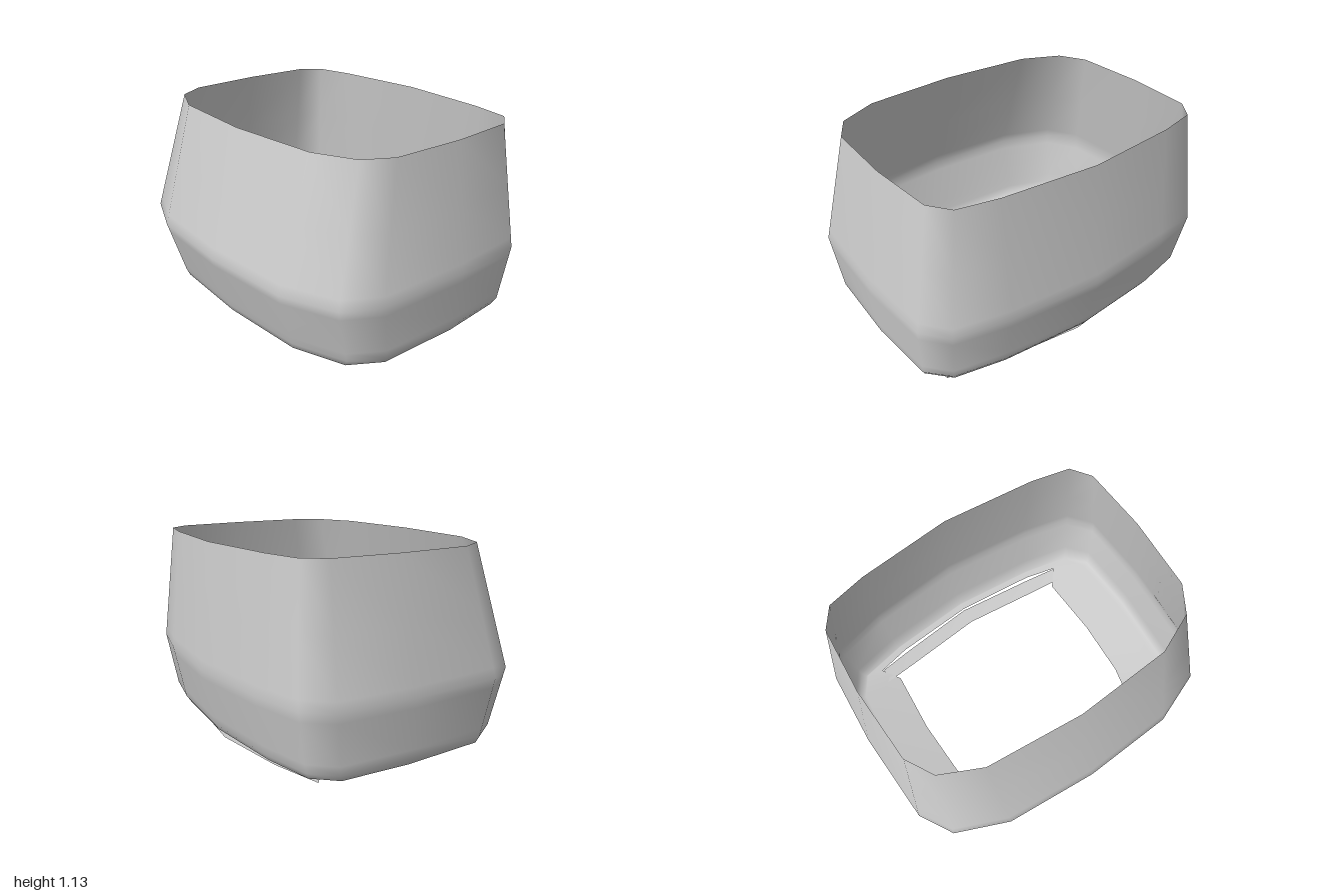
import * as THREE from 'three';

const material = new THREE.MeshStandardMaterial({ color: 0xcccccc, side: THREE.DoubleSide });

// Skin between rows of [x, y, z] points, with shared vertices for smooth shading
function loft(name, rows, closed) {
  const n = rows[0].length, index = [];
  for (let r = 0; r < rows.length - 1; r++) {
    for (let i = 0; i < (closed ? n : n - 1); i++) {
      const a = r * n + i, b = r * n + (i + 1) % n;
      index.push(a, a + n, b, b, a + n, b + n);
    }
  }
  const g = new THREE.BufferGeometry();
  g.setAttribute('position', new THREE.Float32BufferAttribute(rows.flat(2), 3));
  g.setIndex(index);
  g.computeVertexNormals();
  const mesh = new THREE.Mesh(g, material);
  mesh.name = name;
  return mesh;
}

// Half outlines, front centre round the +x side to back centre: [x, z]
const rim = [[0, 0.6], [0.55, 0.56], [0.78, 0.455], [0.87, 0.3], [0.89, -0.13],
  [0.865, -0.52], [0.78, -0.635], [0.55, -0.685], [0, -0.735]];
const belly = [[0, 0.805], [0.55, 0.77], [0.86, 0.645], [0.975, 0.45], [1, -0.1],
  [0.975, -0.55], [0.86, -0.69], [0.55, -0.76], [0, -0.81]];

const at = (outline, y) => outline.map(([x, z]) => [x, y, z]);
const mix = (a, b, t) => a.map((p, i) => p.map((v, k) => v + (b[i][k] - v) * t));

// Complete a half outline by mirroring it; orderd front, -x side, back, +x side
function fullRing(half) {
  const left = half.slice(1, -1).reverse();
  return [...half.map(([x, y, z]) => [-x, y, z]), ...left];
}

export function createModel() {
  const group = new THREE.Group();
  group.name = 'openShell';

  const top = at(rim, 1.13), mid = at(belly, 0.43);
  const low = belly.map(([x, z]) => [x * 0.965, 0.1, z * 0.895 - 0.015]);
  const curl = belly.map(([x, z]) => [x * 0.945, 0.062, z * 0.87 - 0.01]);
  // Inner edge of the base: lies flat at front and sides, stays raised at the back
  const opening = [[0, 0, 0.56], [0.56, 0, 0.455], [0.6, 0, 0.42], [0.635, 0, 0.26],
    [0.65, 0, -0.1], [0.625, 0.008, -0.49], [0.7, 0.045, -0.59], [0.5, 0.045, -0.635], [0, 0.045, -0.675]];

  // Tapering wall with a belly crease, turned under at the bottom
  const rows = [top, mix(top, mid, 0.5), mix(top, mid, 0.92), mid, mix(mid, low, 0.16),
    mix(mid, low, 0.85), low, curl, mix(curl, opening, 0.12), opening];
  group.add(loft('wall', rows.map(fullRing), true));

  // Separate thin lip closing the base along the back
  const mirrorStrip = (half) => [...half.slice(1).reverse().map(([x, y, z]) => [-x, y, z]), ...half];
  const lipInner = [[0, 0, -0.58], [0.5, 0.005, -0.53], [0.75, 0.03, -0.5]];
  const lipOuter = [[0, 0.005, -0.68], [0.5, 0.015, -0.625], [0.84, 0.04, -0.57]];
  group.add(loft('backLip', [mirrorStrip(lipOuter), mirrorStrip(lipInner)], false));

  return group;
}
